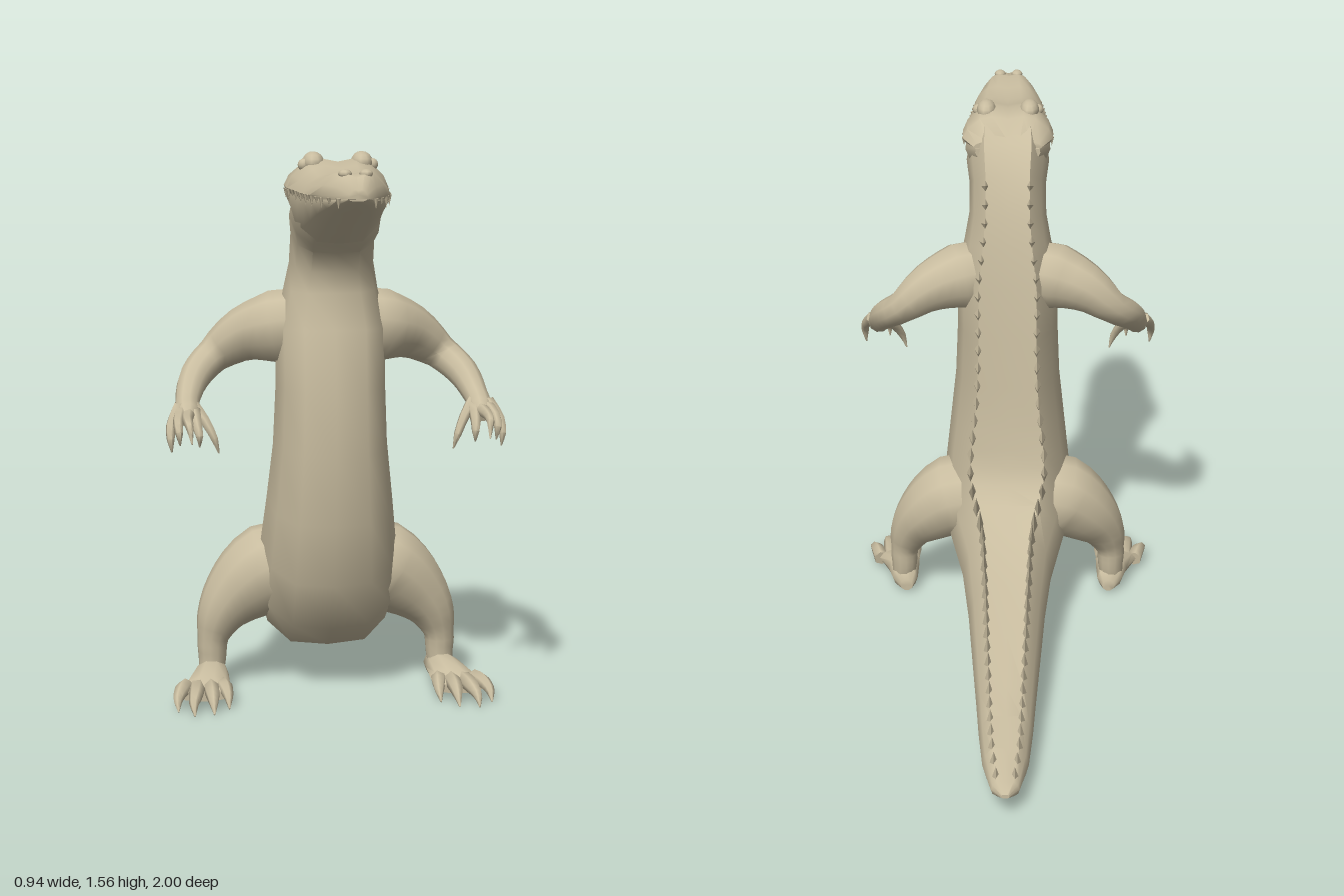
import * as THREE from 'three';
import { toCreasedNormals } from 'three/addons/utils/BufferGeometryUtils.js';

const skin = new THREE.MeshStandardMaterial({ color: 0xc9bda0 });
const V = (x, y, z) => new THREE.Vector3(x, y, z);

// Skin a list of closed rings (counter-clockwise about the direction of travel), capped at both ends
function loft(rings, crease = 0.85) {
  const n = rings[0].length, pos = [], idx = [];
  rings.forEach(r => r.forEach(p => pos.push(p.x, p.y, p.z)));
  for (let i = 0; i < rings.length - 1; i++)
    for (let j = 0; j < n; j++) {
      const k = (j + 1) % n, a = i * n + j, b = i * n + k;
      idx.push(a, b, a + n, b, b + n, a + n);
    }
  [0, rings.length - 1].forEach((i, end) => {
    const c = rings[i].reduce((s, p) => s.add(p), V(0, 0, 0)).divideScalar(n);
    const m = pos.length / 3;
    pos.push(c.x, c.y, c.z);
    for (let j = 0; j < n; j++) {
      const a = i * n + j, b = i * n + (j + 1) % n;
      end ? idx.push(m, a, b) : idx.push(m, b, a);
    }
  });
  const g = new THREE.BufferGeometry();
  g.setAttribute('position', new THREE.Float32BufferAttribute(pos, 3));
  g.setIndex(idx);
  return toCreasedNormals(g, crease);
}

// Round limb through [x, y, z, radius] points, mirrored by side
function limb(points, side, sides = 10, steps = 14) {
  const curve = new THREE.CatmullRomCurve3(points.map(p => V(p[0] * side, p[1], p[2])));
  let normal = V(0, 0.3, 1);
  const rings = [];
  for (let i = 0; i <= steps; i++) {
    const u = i / steps, f = u * (points.length - 1), k = Math.min(Math.floor(f), points.length - 2);
    const r = THREE.MathUtils.lerp(points[k][3], points[k + 1][3], f - k);
    const c = curve.getPoint(u), t = curve.getTangent(u);
    normal = normal.clone().addScaledVector(t, -normal.dot(t)).normalize();
    const b = t.clone().cross(normal);
    rings.push(Array.from({ length: sides }, (_, j) => {
      const a = j / sides * Math.PI * 2;
      return c.clone().addScaledVector(normal, r * Math.cos(a)).addScaledVector(b, r * Math.sin(a));
    }));
  }
  return loft(rings, 1.1);
}

// Mirror a half profile of [u, v] running from bottom centre to top centre
const fullProfile = half => [...half, ...half.slice(1, -1).reverse().map(([u, v]) => [-u, v])];

// Body slices, tail tip to head: belly z, y; back z, y; half width
const slices = [
  [-1, .068, -1, .08, .012], [-.965, .05, -.955, .092, .04], [-.85, .026, -.83, .12, .065],
  [-.72, .035, -.7, .142, .077], [-.6, .04, -.58, .167, .085], [-.4, .052, -.38, .222, .1],
  [-.2, .065, -.17, .275, .115], [0, .08, .02, .345, .137], [.2, .1, .1, .4, .17],
  [.34, .13, .14, .45, .195], [.43, .2, .16, .5, .2], [.5, .34, .17, .555, .195],
  [.538, .52, .185, .63, .18], [.555, .72, .2, .75, .162], [.55, .9, .22, .9, .155],
  [.525, 1.07, .243, 1.06, .155], [.497, 1.17, .268, 1.18, .132], [.51, 1.23, .292, 1.27, .118],
  [.54, 1.285, .335, 1.39, .117], [.6, 1.31, .395, 1.475, .127], [.64, 1.34, .46, 1.52, .12],
];
const bodyProfile = fullProfile([[0, 0], [.55, .03], [.88, .2], [1, .47], [.87, .76], [.57, 1], [0, .98]]);

// Head stations: z, top y, mouth y, bottom y, half width
const head = [
  [.41, 1.48, 1.455, 1.39, .105], [.47, 1.535, 1.455, 1.35, .138], [.56, 1.545, 1.452, 1.305, .138],
  [.63, 1.53, 1.453, 1.322, .124], [.73, 1.515, 1.456, 1.358, .116], [.83, 1.522, 1.46, 1.396, .106],
  [.91, 1.537, 1.464, 1.428, .085], [.97, 1.53, 1.468, 1.45, .055], [1, 1.495, 1.472, 1.465, .025],
];
const upperProfile = fullProfile([[0, 0], [.95, 0], [1, .15], [.9, .5], [.62, .9], [.35, 1], [0, .9]]);
const lowerProfile = fullProfile([[0, 0], [.5, .05], [.8, .35], [.94, .8], [.92, 1], [0, 1]]);

export function createModel() {
  const model = new THREE.Group();
  const add = (name, geometry, parent = model) => {
    const mesh = new THREE.Mesh(geometry, skin);
    mesh.name = name;
    parent.add(mesh);
    return mesh;
  };
  const group = name => {
    const g = new THREE.Group();
    g.name = name;
    model.add(g);
    return g;
  };

  // Tail, torso and neck in one skin
  add('body', loft(slices.map(([bz, by, dz, dy, w]) =>
    bodyProfile.map(([u, v]) => V(u * w, by + (dy - by) * v, bz + (dz - bz) * v)))));

  // Jaws
  add('upperJaw', loft(head.map(([z, top, mouth, , w]) =>
    upperProfile.map(([u, v]) => V(u * w, mouth + (top - mouth) * v, z)))));
  add('lowerJaw', loft(head.map(([z, , mouth, low, w]) =>
    lowerProfile.map(([u, v]) => V(u * w, low + (mouth - low) * v, z - .006)))));

  const widthAt = z => {
    const i = Math.max(1, head.findIndex(h => h[0] >= z)), a = head[i - 1], b = head[i];
    return THREE.MathUtils.lerp(a[4], b[4], (z - a[0]) / (b[0] - a[0]));
  };

  for (const s of [1, -1]) {
    const side = s > 0 ? 'left' : 'right';

    // Brow, eye and nostril bumps
    const brow = add(side + 'Brow', new THREE.SphereGeometry(1, 10, 8));
    brow.scale.set(.03, .03, .055);
    brow.position.set(s * .066, 1.533, .55);
    const eye = add(side + 'Eye', new THREE.SphereGeometry(.017, 10, 8));
    eye.position.set(s * .092, 1.528, .565);
    const nostril = add(side + 'Nostril', new THREE.SphereGeometry(1, 8, 6));
    nostril.scale.set(.018, .012, .025);
    nostril.position.set(s * .027, 1.531, .94);

    // Teeth along the lip, alternately long and short
    const teeth = group(side + 'Teeth');
    for (let i = 0; i < 15; i++) {
      const z = .5 + i * .034, h = i % 2 ? .018 : .028;
      const tooth = add('tooth', new THREE.ConeGeometry(.007, h, 5), teeth);
      tooth.rotation.x = Math.PI;
      tooth.position.set(s * widthAt(z) * .975, 1.462 - h / 2 + (z - .5) * .02, z);
    }

    // Row of back spikes from tail to neck
    const crest = group(side + 'Crest');
    const path = new THREE.CatmullRomCurve3(slices.slice(1, 19).map(([, , dz, dy, w]) => V(s * w * .57, dy, dz)));
    const count = 38;
    for (let i = 0; i < count; i++) {
      const u = (i + .5) / count, p = path.getPointAt(u), t = path.getTangentAt(u);
      t.x = 0;
      t.normalize();
      const h = .03 + .055 * Math.exp(-(((u - .5) / .22) ** 2));
      const spike = add('spike', toCreasedNormals(new THREE.ConeGeometry(.03, h + .015, 4), .3), crest);
      const out = V(0, t.z, -t.y);
      spike.quaternion.setFromRotationMatrix(new THREE.Matrix4().makeBasis(V(1, 0, 0), out, t));
      spike.scale.set(.4, 1, .65 + h * 5);
      spike.position.copy(p).addScaledVector(out, h / 2 - .008);
    }

    // Arm with clawed hand
    const arm = group(side + 'Arm');
    add('arm', limb([[.07, 1.07, .37, .1], [.15, 1.06, .355, .105], [.24, 1.035, .325, .078],
      [.325, .975, .315, .05], [.38, .925, .375, .044], [.405, .87, .455, .034],
      [.408, .845, .51, .034], [.408, .83, .55, .018]], s, 10, 21), arm);
    const fingers = [
      [[.43, .86, .5], [.455, .82, .55], [.458, .785, .575], [.455, .75, .575]],
      [[.425, .85, .51], [.437, .835, .58], [.437, .81, .615], [.434, .775, .61]],
      [[.405, .845, .52], [.412, .842, .59], [.41, .832, .65], [.405, .79, .675]],
      [[.39, .85, .51], [.385, .82, .565], [.38, .795, .59], [.38, .765, .585]],
      [[.39, .86, .49], [.36, .825, .525], [.337, .78, .55], [.325, .74, .55]],
    ];
    fingers.forEach(f => add('finger', limb(f.map((p, i) => [...p, [.02, .015, .011, .002][i]]), s, 6, 6), arm));

    // Leg, flat foot and splayed toes
    const leg = group(side + 'Leg');
    add('leg', limb([[.08, .35, .28, .13], [.17, .34, .28, .135], [.25, .285, .285, .105],
      [.305, .22, .295, .072], [.33, .15, .3, .045], [.332, .09, .3, .04], [.335, .045, .305, .036]], s, 12, 18), leg);
    const foot = [[.255, .325, .02, .05], [.275, .33, .04, .085], [.34, .338, .05, .09], [.42, .355, .066, .07], [.48, .365, .07, .045]];
    add('foot', loft(foot.map(([z, x, w, h]) => Array.from({ length: 10 }, (_, j) => {
      const a = j / 10 * Math.PI * 2;
      return V(s * x + w * Math.cos(a), .012 + (h - .012) * (.5 + .5 * Math.sin(a)), z);
    })), 1), leg);
    [[.312, .3, .54], [.345, .345, .59], [.382, .4, .6], [.415, .443, .555]].forEach(([x0, x1, z1]) =>
      add('toe', limb([[x0, .04, .42, .024], [x0 * .5 + x1 * .5, .045, z1 - .085, .022],
        [x1, .032, z1 - .035, .014], [x1, .008, z1, .002]], s, 6, 8), leg));
  }
  return model;
}
